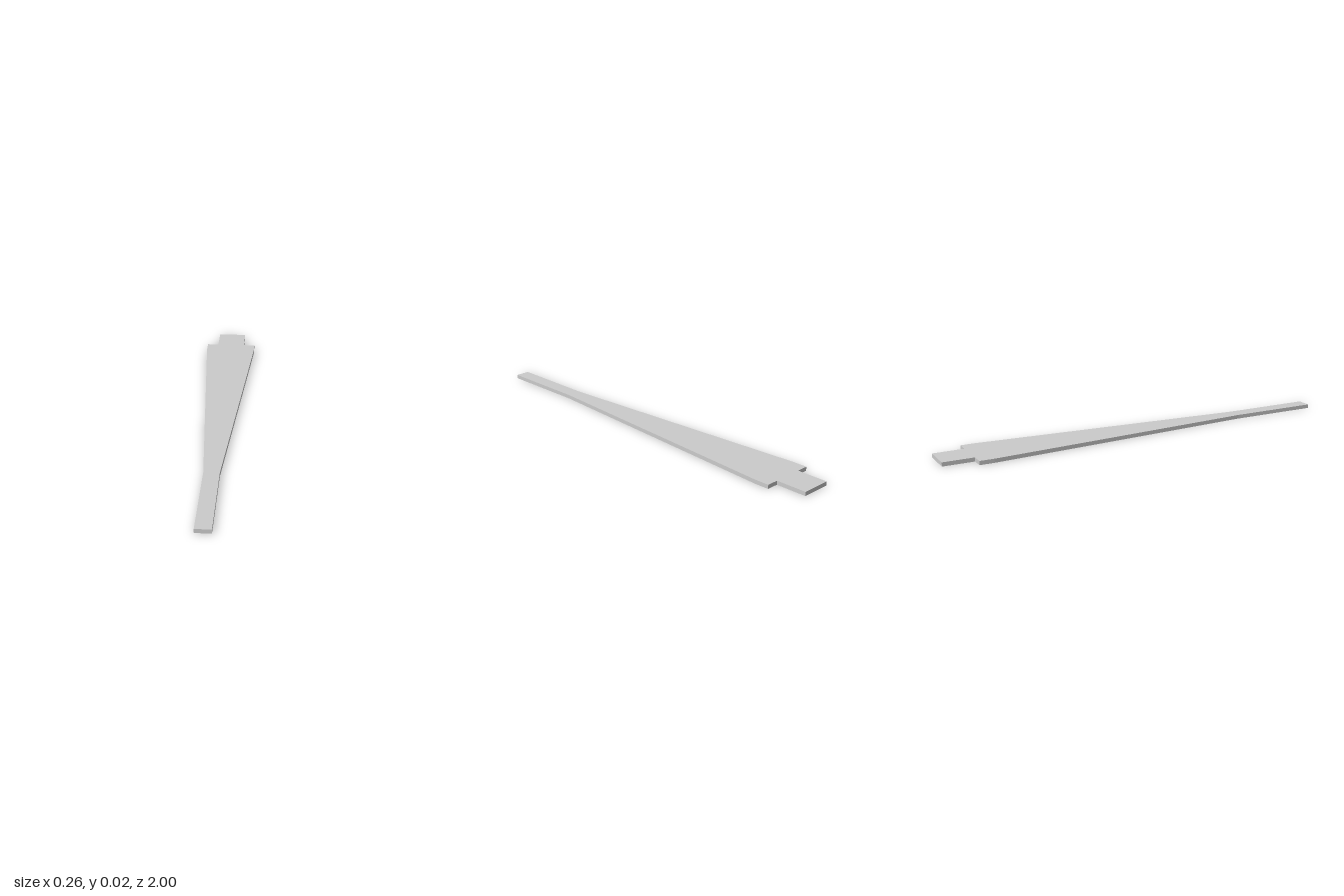
import * as THREE from 'three';

// Half of the outline, as [half width, z] from the front tip to the back tab
const HALF_OUTLINE = [
  [0.036, 1], [0.036, 0.56],    // narrow straight tip
  [0.13, -0.78], [0.13, -0.85], // taper and short straight shoulder
  [0.072, -0.85], [0.072, -1],  // back tab
];
const THICKNESS = 0.019;

export function createModel() {
  const group = new THREE.Group();
  group.name = 'taperedSlat';

  // Mirror the half outline; shape y is -z so the plate lies flat once turned
  const right = HALF_OUTLINE.map(([w, z]) => new THREE.Vector2(w, -z));
  const left = HALF_OUTLINE.map(([w, z]) => new THREE.Vector2(-w, -z)).reverse();
  const shape = new THREE.Shape([...right, ...left]);

  const geometry = new THREE.ExtrudeGeometry(shape, { depth: THICKNESS, bevelEnabled: false });
  geometry.rotateX(-Math.PI / 2);

  const plate = new THREE.Mesh(
    geometry,
    new THREE.MeshStandardMaterial({ color: 0xcccccc, flatShading: true })
  );
  plate.name = 'plate';
  group.add(plate);
  return group;
}
